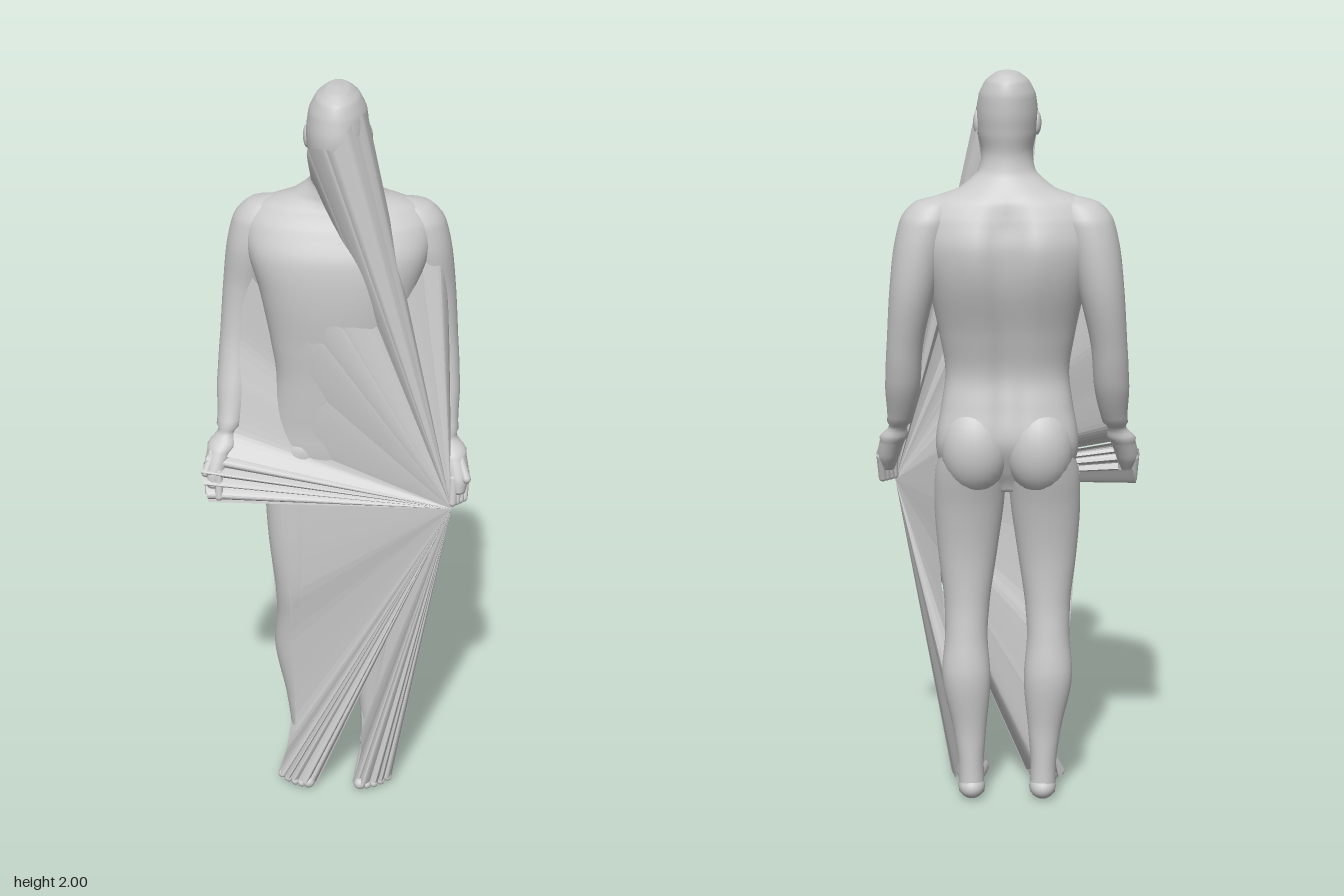
import * as THREE from 'three';

const V = (p) => new THREE.Vector3(...p);
const skin = new THREE.MeshStandardMaterial({ color: 0xcccccc, side: THREE.DoubleSide });
const sheet = new THREE.MeshStandardMaterial({ color: 0xcccccc, side: THREE.DoubleSide, flatShading: true });
// every pleated sheet gathers at the left fingertips
const APEX = [0.31, 0.87, 0.115];

function surface(name, positions, index, material) {
  const g = new THREE.BufferGeometry();
  g.setAttribute('position', new THREE.Float32BufferAttribute(positions, 3));
  g.setIndex(index);
  g.computeVertexNormals();
  const m = new THREE.Mesh(g, material);
  m.name = name;
  return m;
}

// smooth loft through level rings [x, y, z, rx, rz, roundness], from bottom to top
function loft(name, rings, rule = null) {
  const rows = 6, seg = 48;
  const centre = new THREE.CatmullRomCurve3(rings.map((r) => V(r.slice(0, 3))));
  const radius = new THREE.CatmullRomCurve3(rings.map((r) => V([r[3], r[4], r[5] ?? 1])));
  const n = (rings.length - 1) * rows, pos = [], idx = [];
  const bend = (v, e) => Math.sign(v) * Math.abs(v) ** e;
  for (let i = 0; i <= n; i++) {
    const c = centre.getPoint(i / n), r = radius.getPoint(i / n);
    for (let j = 0; j < seg; j++) {
      const a = (j / seg) * Math.PI * 2;
      const p = V([c.x + r.x * bend(Math.cos(a), r.z), c.y, c.z + r.y * bend(Math.sin(a), r.z)]);
      if (rule) rule(p);
      pos.push(p.x, p.y, p.z);
      if (i < n) {
        const b = i * seg + j, d = i * seg + ((j + 1) % seg);
        idx.push(b, b + seg, d, d, b + seg, d + seg);
      }
    }
  }
  // close both ends
  for (let j = 1; j < seg - 1; j++) {
    idx.push(0, j, j + 1);
    idx.push(n * seg, n * seg + j + 1, n * seg + j);
  }
  return surface(name, pos, idx, skin);
}

// sheet of long triangles from an edge curve to the gathering point
function fan(name, points, pleats = 0, depth = 0) {
  const curve = new THREE.CatmullRomCurve3(points.map(V), false, 'catmullrom', 0.3);
  const n = Math.max(24, pleats * 8), pos = [...APEX], idx = [];
  for (let i = 0; i <= n; i++) {
    const p = curve.getPoint(i / n);
    const fold = depth * (Math.abs(Math.sin((i / n) * Math.PI * pleats)) - 1);
    pos.push(p.x, p.y, p.z + fold);
    if (i) idx.push(0, i, i + 1);
  }
  return surface(name, pos, idx, sheet);
}

function ball(name, at, scale) {
  const m = new THREE.Mesh(new THREE.SphereGeometry(1, 24, 16), skin);
  m.position.set(...at);
  m.scale.set(...scale);
  m.name = name;
  return m;
}

function limb(name, a, b, r) {
  const d = V(b).sub(V(a));
  const m = new THREE.Mesh(new THREE.CapsuleGeometry(r, d.length(), 6, 12), skin);
  m.position.copy(V(a).addScaledVector(d, 0.5));
  m.quaternion.setFromUnitVectors(new THREE.Vector3(0, 1, 0), d.normalize());
  m.name = name;
  return m;
}

export function createModel() {
  const model = new THREE.Group();
  model.name = 'drapedFigure';

  // torso, neck and head: [y, half width, back z, front z, roundness]
  const body = [
    [0.88, 0.13, -0.07, 0.05, 1], [0.94, 0.178, -0.105, 0.065, 0.9], [1.03, 0.19, -0.138, 0.07, 0.85],
    [1.12, 0.175, -0.122, 0.075, 0.85], [1.2, 0.165, -0.108, 0.08, 0.85], [1.32, 0.182, -0.136, 0.09, 0.85],
    [1.45, 0.21, -0.178, 0.1, 0.82], [1.55, 0.24, -0.188, 0.093, 0.85], [1.625, 0.24, -0.172, 0.06, 0.9],
    [1.67, 0.205, -0.155, 0.035, 0.95], [1.7, 0.125, -0.135, 0.025, 1], [1.745, 0.074, -0.108, 0.035, 1],
    [1.79, 0.067, -0.102, 0.075, 1], [1.84, 0.077, -0.112, 0.102, 1], [1.89, 0.08, -0.12, 0.108, 1],
    [1.94, 0.074, -0.122, 0.1, 1], [1.975, 0.056, -0.112, 0.086, 1], [1.994, 0.03, -0.08, 0.052, 1],
    [2.0, 0.004, -0.02, 0.0, 1],
  ].map(([y, w, b, f, e]) => [0, y, (b + f) / 2, w, (f - b) / 2, e]);
  model.add(loft('body', body, (p) => {
    // spine groove, and fuller shoulder blades beside it
    const back = THREE.MathUtils.smoothstep(-p.z, 0.03, 0.09) * (1 - THREE.MathUtils.smoothstep(p.y, 1.58, 1.72));
    p.z += back * 0.024 * Math.exp(-((p.x / 0.035) ** 2));
    p.z -= back * 0.01 * Math.exp(-(((Math.abs(p.x) - 0.08) / 0.05) ** 2) - ((p.y - 1.54) / 0.1) ** 2);
  }));

  for (const s of [1, -1]) {
    const side = new THREE.Group();
    side.name = s > 0 ? 'leftSide' : 'rightSide';
    const at = (x, y, z) => [s * x, y, z];
    const flip = (rings) => rings.map(([x, ...r]) => [s * x, ...r]);

    side.add(ball('ear', at(0.077, 1.865, -0.015), [0.012, 0.032, 0.02]));

    // arm swinging forward to the hand
    side.add(loft('arm', flip([
      [0.328, 0.91, 0.085, 0.018, 0.025], [0.325, 0.95, 0.068, 0.03, 0.038], [0.312, 1.0, 0.044, 0.034, 0.04],
      [0.29, 1.06, 0.01, 0.034, 0.04], [0.278, 1.17, -0.035, 0.047, 0.053], [0.27, 1.28, -0.065, 0.048, 0.055],
      [0.248, 1.43, -0.085, 0.06, 0.07], [0.225, 1.55, -0.08, 0.07, 0.08], [0.205, 1.62, -0.078, 0.073, 0.075],
      [0.188, 1.665, -0.075, 0.052, 0.052], [0.17, 1.682, -0.07, 0.01, 0.01],
    ])));
    for (let i = 0; i < 4; i++) {
      side.add(limb('finger', at(0.346 - i * 0.011, 0.95, 0.055 + i * 0.013), at(0.342 - i * 0.01, 0.885, 0.078 + i * 0.01), 0.011));
    }
    side.add(limb('thumb', at(0.33, 0.995, 0.065), at(0.348, 0.95, 0.095), 0.012));

    // leg
    side.add(loft('leg', flip([
      [0.098, 0.02, -0.035, 0.035, 0.04], [0.1, 0.1, -0.03, 0.035, 0.042], [0.103, 0.2, -0.028, 0.045, 0.045],
      [0.112, 0.36, -0.03, 0.066, 0.06], [0.112, 0.47, -0.015, 0.058, 0.06], [0.11, 0.56, -0.002, 0.062, 0.063],
      [0.108, 0.7, 0.0, 0.08, 0.068], [0.103, 0.84, -0.012, 0.094, 0.08], [0.098, 0.93, -0.025, 0.095, 0.092],
      [0.09, 1.0, -0.035, 0.085, 0.1], [0.085, 1.07, -0.035, 0.05, 0.06],
    ])));
    side.add(ball('buttock', at(0.085, 1.005, -0.06), [0.092, 0.125, 0.088]));

    // foot with five toes
    side.add(ball('heel', at(0.098, 0.035, -0.035), [0.037, 0.035, 0.047]));
    side.add(limb('innerFoot', at(0.095, 0.05, -0.02), at(0.08, 0.026, 0.13), 0.026));
    side.add(limb('outerFoot', at(0.105, 0.04, -0.02), at(0.125, 0.022, 0.11), 0.022));
    for (let i = 0; i < 5; i++) {
      const r = i ? 0.012 : 0.017;
      side.add(limb('toe', at(0.085 + i * 0.014, 0.02, 0.12), at(0.072 + i * 0.019, r + 0.003, 0.172 - i * i * 0.0028), r));
    }
    // pleated sheet from the toes
    side.add(fan('toeSheet', [at(0.05, 0.01, 0.16), at(0.075, 0.025, 0.19), at(0.115, 0.025, 0.178),
      at(0.135, 0.022, 0.163), at(0.16, 0.018, 0.13)], 5, 0.015));
    // sheets from both edges of foot and leg
    side.add(fan('innerLegSheet', [at(0.05, 0.008, 0.16), at(0.065, 0.04, 0.06), at(0.07, 0.1, 0.0),
      at(0.06, 0.3, -0.01)]));
    side.add(fan('outerLegSheet', [at(0.16, 0.018, 0.13), at(0.145, 0.03, 0.03), at(0.135, 0.1, -0.02),
      at(0.148, 0.2, -0.025), at(0.175, 0.36, -0.03), at(0.17, 0.47, -0.01), at(0.187, 0.7, 0.0),
      at(0.196, 0.85, -0.01), at(0.193, 0.95, -0.02)]));
    model.add(side);
  }

  // sheet from the face, wrapped around jaw, brow and left cheek
  model.add(fan('faceSheet', [[-0.068, 1.75, 0.0], [-0.074, 1.85, 0.06], [-0.03, 1.87, 0.105], [0, 1.87, 0.116],
    [0.03, 1.92, 0.1], [0.065, 1.945, 0.045], [0.079, 1.91, -0.01], [0.077, 1.84, -0.03], [0.068, 1.78, -0.04],
    [0.075, 1.74, -0.06]], 8, 0.004));
  model.add(fan('chinSheet', [[-0.068, 1.75, 0.0], [0, 1.75, 0.07], [0.05, 1.75, 0.04], [0.075, 1.74, -0.06]]));
  // sheets over the chest, left shoulder and left arm
  model.add(fan('chestSheet', [[-0.06, 1.0, 0.064], [-0.07, 1.2, 0.075], [-0.08, 1.4, 0.09], [-0.06, 1.52, 0.093],
    [0, 1.6, 0.075], [0.1, 1.63, 0.04], [0.2, 1.66, -0.02]], 6, 0.003));
  model.add(fan('leftArmSheet', [[0.2, 1.66, -0.02], [0.26, 1.6, -0.03], [0.285, 1.45, -0.035],
    [0.295, 1.28, -0.03], [0.3, 1.15, 0.0], [0.31, 1.03, 0.04]]));
  // sheets from the right arm and its spread fingers
  model.add(fan('rightArmSheet', [[-0.25, 1.5, -0.02], [-0.265, 1.3, -0.015], [-0.275, 1.17, 0.01],
    [-0.3, 1.05, 0.035], [-0.34, 1.0, 0.075]]));
  model.add(fan('rightHandSheet', [[-0.34, 1.0, 0.075], [-0.358, 0.96, 0.105], [-0.35, 0.92, 0.114],
    [-0.34, 0.872, 0.116]], 4, 0.02));
  model.add(fan('rightHandUnderSheet', [[-0.34, 0.872, 0.116], [-0.35, 0.875, 0.07], [-0.34, 0.92, 0.04]]));
  // sheet across hips, right thigh and shin
  model.add(fan('hipSheet', [[-0.13, 0.98, 0.055], [-0.15, 0.85, 0.06], [-0.14, 0.7, 0.062], [-0.13, 0.55, 0.058],
    [-0.13, 0.4, 0.035], [-0.12, 0.2, 0.02], [-0.12, 0.09, 0.02], [-0.13, 0.04, 0.1]]));
  return model;
}
